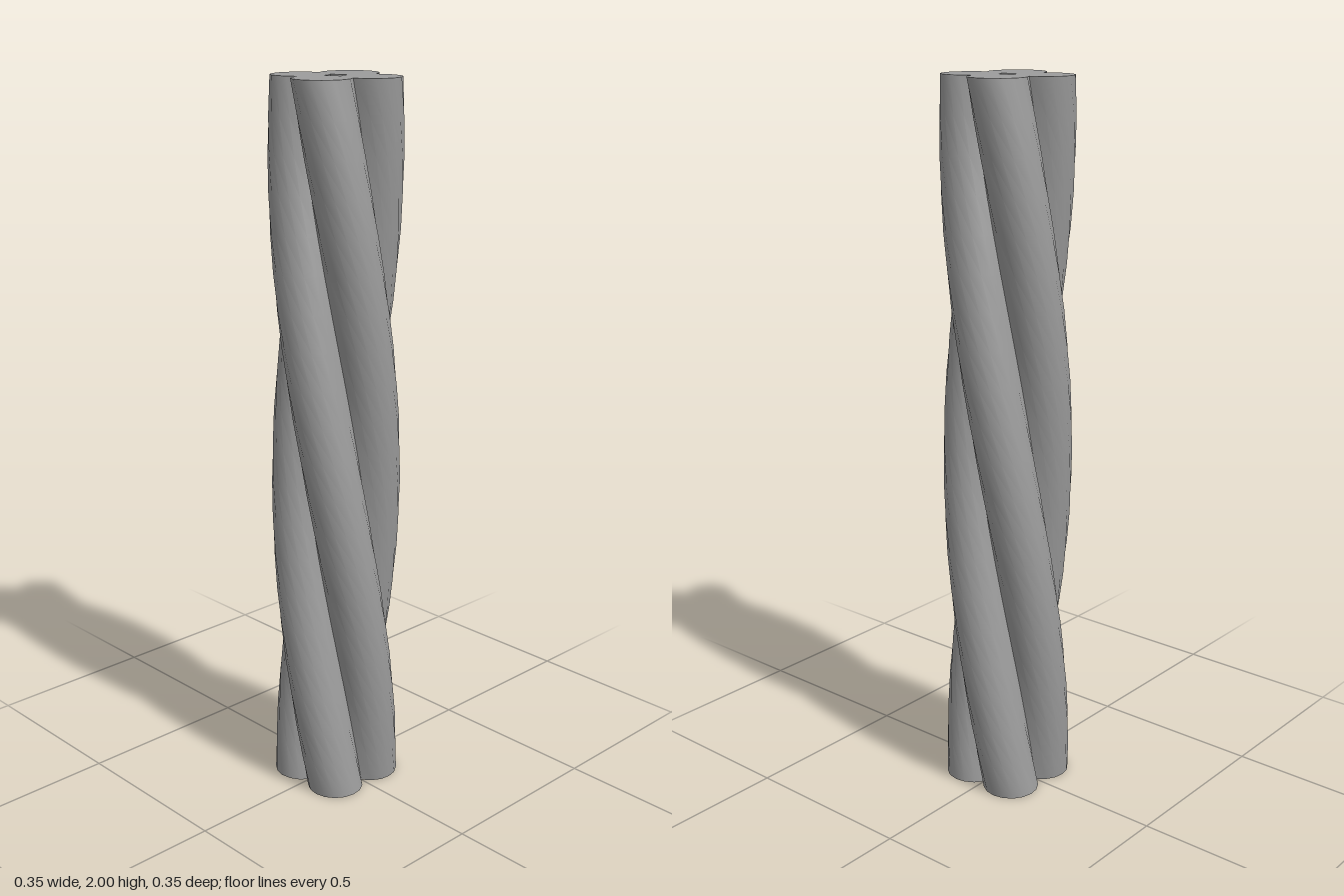
import * as THREE from 'three';
import { toCreasedNormals } from 'three/addons/utils/BufferGeometryUtils.js';

const HEIGHT = 2, STRANDS = 4;
const OFFSET = 0.099, RADIUS = 0.079;          // strand centre distance and strand radius
const START = Math.PI / 4, TWIST = THREE.MathUtils.degToRad(200);

// Points of four equal arcs, one per strand, each centred on the strand's own axis
function arcRing(from, to, segments) {
  const points = [];
  for (let k = 0; k < STRANDS; k++) {
    const turn = (k * 2 * Math.PI) / STRANDS;
    for (let i = 0; i < segments; i++) {
      const a = from + ((to - from) * i) / segments;
      points.push(new THREE.Vector2(OFFSET + RADIUS * Math.cos(a), RADIUS * Math.sin(a))
        .rotateAround(new THREE.Vector2(), turn));
    }
  }
  return points;
}

// Four-lobed section with the small gap left between the strands
function ropeSection() {
  const mid = OFFSET / Math.SQRT2;
  const half = Math.sqrt(RADIUS * RADIUS - mid * mid);
  const meetAngle = (r) => Math.atan2(r / Math.SQRT2, r / Math.SQRT2 - OFFSET);
  const outer = meetAngle(mid + half), inner = meetAngle(mid - half);
  const shape = new THREE.Shape(arcRing(-outer, outer, 10));
  shape.holes.push(new THREE.Path(arcRing(2 * Math.PI - inner, inner, 2)));
  return shape;
}

export function createModel() {
  const group = new THREE.Group();
  group.name = 'twistedColumn';

  const geometry = new THREE.ExtrudeGeometry(ropeSection(), {
    depth: HEIGHT, steps: 20, bevelEnabled: false,
  });
  geometry.rotateX(-Math.PI / 2);

  // Twist the strands about the upright axis
  const pos = geometry.attributes.position;
  for (let i = 0; i < pos.count; i++) {
    const x = pos.getX(i), y = pos.getY(i), z = pos.getZ(i);
    const a = START + (TWIST * y) / HEIGHT;
    pos.setXYZ(i, x * Math.cos(a) - z * Math.sin(a), y, x * Math.sin(a) + z * Math.cos(a));
  }

  const strands = new THREE.Mesh(
    toCreasedNormals(geometry, THREE.MathUtils.degToRad(40)),
    new THREE.MeshStandardMaterial({ color: 0x9c9c9c }),
  );
  strands.name = 'twistedStrands';
  group.add(strands);
  return group;
}
